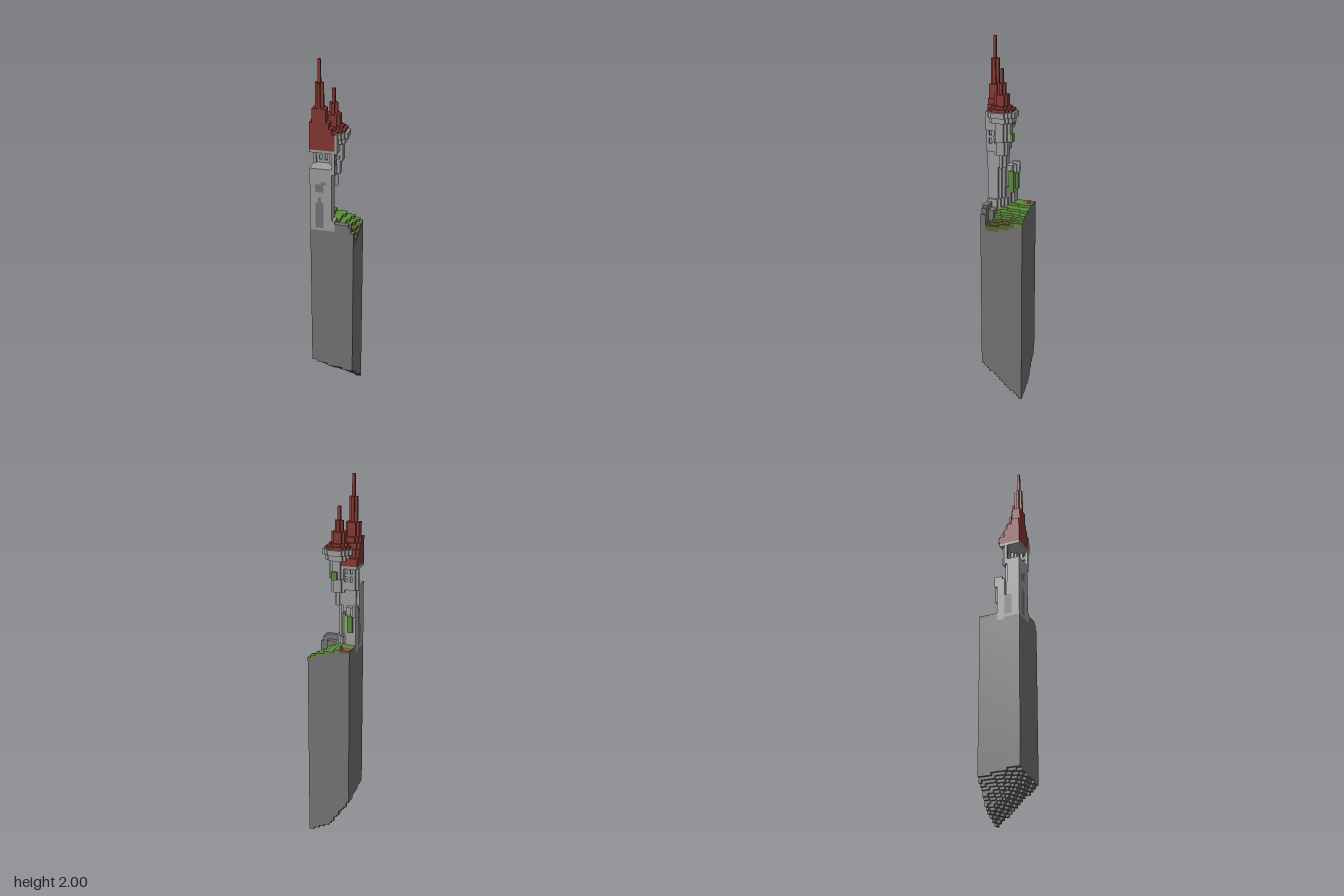
import * as THREE from 'three';

const N = 16, H = 136, S = 2 / H; // cells across, cells high, cell size

const mat = (name, color) => {
  const m = new THREE.MeshStandardMaterial({ color });
  m.name = name;
  return m;
};

// Piecewise linear profile through [position, value] points
function profile(points, x) {
  for (let n = 1; n < points.length; n++) {
    const [x0, y0] = points[n - 1], [x1, y1] = points[n];
    if (x <= x1) return y0 + (y1 - y0) * (x - x0) / (x1 - x0);
  }
  return points[points.length - 1][1];
}

// Each face: outward direction and its four corners, counter-clockwise
const FACES = [
  [[1, 0, 0], [[1, 0, 1], [1, 0, 0], [1, 1, 0], [1, 1, 1]]],
  [[-1, 0, 0], [[0, 0, 0], [0, 0, 1], [0, 1, 1], [0, 1, 0]]],
  [[0, 1, 0], [[0, 1, 1], [1, 1, 1], [1, 1, 0], [0, 1, 0]]],
  [[0, -1, 0], [[0, 0, 0], [1, 0, 0], [1, 0, 1], [0, 0, 1]]],
  [[0, 0, 1], [[0, 0, 1], [1, 0, 1], [1, 1, 1], [0, 1, 1]]],
  [[0, 0, -1], [[1, 0, 0], [0, 0, 0], [0, 1, 0], [1, 1, 0]]],
];

export function createModel() {
  const stone = mat('stone', 0x757575), brick = mat('light brick', 0xa0a0a0);
  const tile = mat('red roof tile', 0x853730), grass = mat('grass', 0x5c8c3a);
  const moss = mat('dark moss', 0x5a6630), soil = mat('soil', 0x7c5a42);

  const parts = {
    cliff: stone, turf: grass, mossyBank: moss, soilPatch: soil, treeStump: soil,
    towerTrunk: brick, towerArches: stone, sideWall: brick, sideWallBase: stone, vines: grass,
    belfry: brick, mainEave: brick, mainRoof: tile,
    turret: brick, turretEave: brick, turretRoof: tile,
  };

  // Cell grid: i along x, k up, j along z
  const cells = new Map();
  const key = (i, k, j) => (k * N + j) * N + i;
  const inside = (i, k, j) => i >= 0 && i < N && j >= 0 && j < N && k >= 0 && k < H;
  const put = (part, i, k, j) => { if (inside(i, k, j)) cells.set(key(i, k, j), part); };
  const box = (part, i0, i1, k0, k1, j0, j1) => {
    for (let k = k0; k <= k1; k++)
      for (let j = j0; j <= j1; j++)
        for (let i = i0; i <= i1; i++) {
          if (part) put(part, i, k, j);
          else cells.delete(key(i, k, j));
        }
  };
  const inOctagon = (di, dj, r) =>
    Math.max(Math.abs(di), Math.abs(dj)) <= r && Math.abs(di) + Math.abs(dj) <= 1.5 * r;
  // Octagonal drum, hollow when an inner radius is given
  const drum = (part, ci, cj, r, k0, k1, inner = -1, maxI = N - 1) => {
    for (let k = k0; k <= k1; k++)
      for (let j = cj - r; j <= cj + r; j++)
        for (let i = ci - r; i <= Math.min(ci + r, maxI); i++)
          if (inOctagon(i - ci, j - cj, r) && !(inner >= 0 && inOctagon(i - ci, j - cj, inner)))
            put(part, i, k, j);
  };

  // Cliff with a sloping, stepped underside and a sloping grassy top
  const backEdge = [[0, 13.6], [2, 11], [5, 6.5], [8, 3], [11, 1.7], [15, 0]];
  const frontEdge = [[0, 16.3], [3, 15], [8, 13.9], [15, 13]];
  for (let j = 0; j < N; j++)
    for (let i = 0; i < N; i++) {
      const t = j / 15, u = i / 15;
      const bottom = Math.round(profile(backEdge, i) * (1 - t) + profile(frontEdge, i) * t);
      let top = Math.round(75 - u * u * (3.6 + 3.2 * t));
      const outcrop = i >= 8 && (j >= 14 || (j >= 12 && i < 13));
      if (outcrop) top = i === 15 ? 73 : i === 14 ? 75 : i >= 9 ? 76 - (j < 14 ? 2 : 0) : 74;
      box('cliff', i, i, bottom, top - 1, j, j);
      if (outcrop || (j > 8 && i < 7)) continue;
      const cover = i < 4 && j < 4 && i + j < 6 ? 'soilPatch' : i >= 13 && j >= 3 ? 'mossyBank' : 'turf';
      put(cover, i, top - 1, j);
      if (cover === 'mossyBank') put(cover, i, top - 2, j);
    }
  box('treeStump', 3, 3, 75, 75, 1, 1);

  // Broken wall behind the tower, with creepers
  box('sideWallBase', 0, 4, 72, 80, 8, 10);
  box('sideWall', 0, 3, 72, 88, 7, 9);
  box('sideWall', 0, 0, 86, 89, 6, 8);
  box(null, 2, 3, 86, 88, 7, 7);
  box('vines', 1, 2, 80, 85, 6, 6);
  box('vines', 4, 4, 79, 86, 7, 8);

  // Tower trunk, cut off at the two outer sides, with arched recess fillings
  drum('towerTrunk', 3, 14, 4, 73, 96);
  drum('towerTrunk', 3, 14, 5, 95, 96);
  drum('towerTrunk', 3, 14, 5, 73, 76);
  box('towerArches', 2, 4, 74, 83, 15, 15);
  box('towerArches', 3, 3, 84, 85, 15, 15);
  box('towerArches', 2, 4, 88, 90, 15, 15);
  box('towerArches', 4, 5, 91, 91, 15, 15);
  box('towerArches', 0, 0, 74, 81, 10, 12);

  // Open belfry under the main roof
  drum('belfry', 3, 14, 5, 97, 102, 4);
  drum('mainEave', 3, 14, 6, 103, 103, -1, 8);

  // Corner turret on growing corbels
  for (const [r, k0, k1] of [[1, 89, 93], [2, 94, 98], [3, 99, 105], [4, 106, 107]])
    for (let k = k0; k <= k1; k++)
      for (let j = 10 - r; j <= 10 + r; j++)
        for (let i = 7 - r; i <= 7 + r; i++)
          // keep the belfry room empty
          if (inOctagon(i - 7, j - 10, r) && !(k > 96 && k < 103 && inOctagon(i - 3, j - 14, 4)))
            put('turret', i, k, j);
  box('turret', 9, 9, 103, 108, 12, 15);
  box('vines', 7, 8, 99, 101, 6, 6);
  drum('turretEave', 7, 10, 5, 108, 109);

  // Paired see-through belfry windows
  for (const k of [98, 101]) {
    for (const i of [2, 4]) box(null, i, i, k, k + 1, 5, 15);
    for (const j of [12, 14]) box(null, 0, 10, k, k + 1, j, j);
  }

  // Stepped spires: [radius, first level, last level]
  for (const [r, k0, k1] of [[6, 104, 106], [5, 107, 109], [4, 110, 111], [3, 112, 113], [2, 114, 118], [1, 119, 127], [0, 128, 135]])
    drum('mainRoof', 3, 14, r, k0, k1, -1, 8);
  for (const [r, k0, k1] of [[4, 109, 110], [3, 111, 111], [2, 112, 115], [1, 116, 119], [0, 120, 124]])
    drum('turretRoof', 7, 10, r, k0, k1);

  // Turn the exposed cell faces into one mesh per part
  const data = {};
  for (const name in parts) data[name] = { position: [], normal: [] };
  for (const [id, part] of cells) {
    const i = id % N, j = Math.floor(id / N) % N, k = Math.floor(id / (N * N));
    for (const [d, c] of FACES) {
      const [ni, nk, nj] = [i + d[0], k + d[1], j + d[2]];
      if (inside(ni, nk, nj) && cells.has(key(ni, nk, nj))) continue;
      for (const n of [0, 1, 2, 0, 2, 3]) {
        data[part].position.push((i + c[n][0] - N / 2) * S, (k + c[n][1]) * S, (j + c[n][2] - N / 2) * S);
        data[part].normal.push(...d);
      }
    }
  }
  const group = new THREE.Group();
  group.name = 'clifftopTower';
  for (const name in parts) {
    if (!data[name].position.length) continue;
    const geometry = new THREE.BufferGeometry();
    for (const attribute of ['position', 'normal'])
      geometry.setAttribute(attribute, new THREE.Float32BufferAttribute(data[name][attribute], 3));
    const mesh = new THREE.Mesh(geometry, parts[name]);
    mesh.name = name;
    group.add(mesh);
  }
  return group;
}
